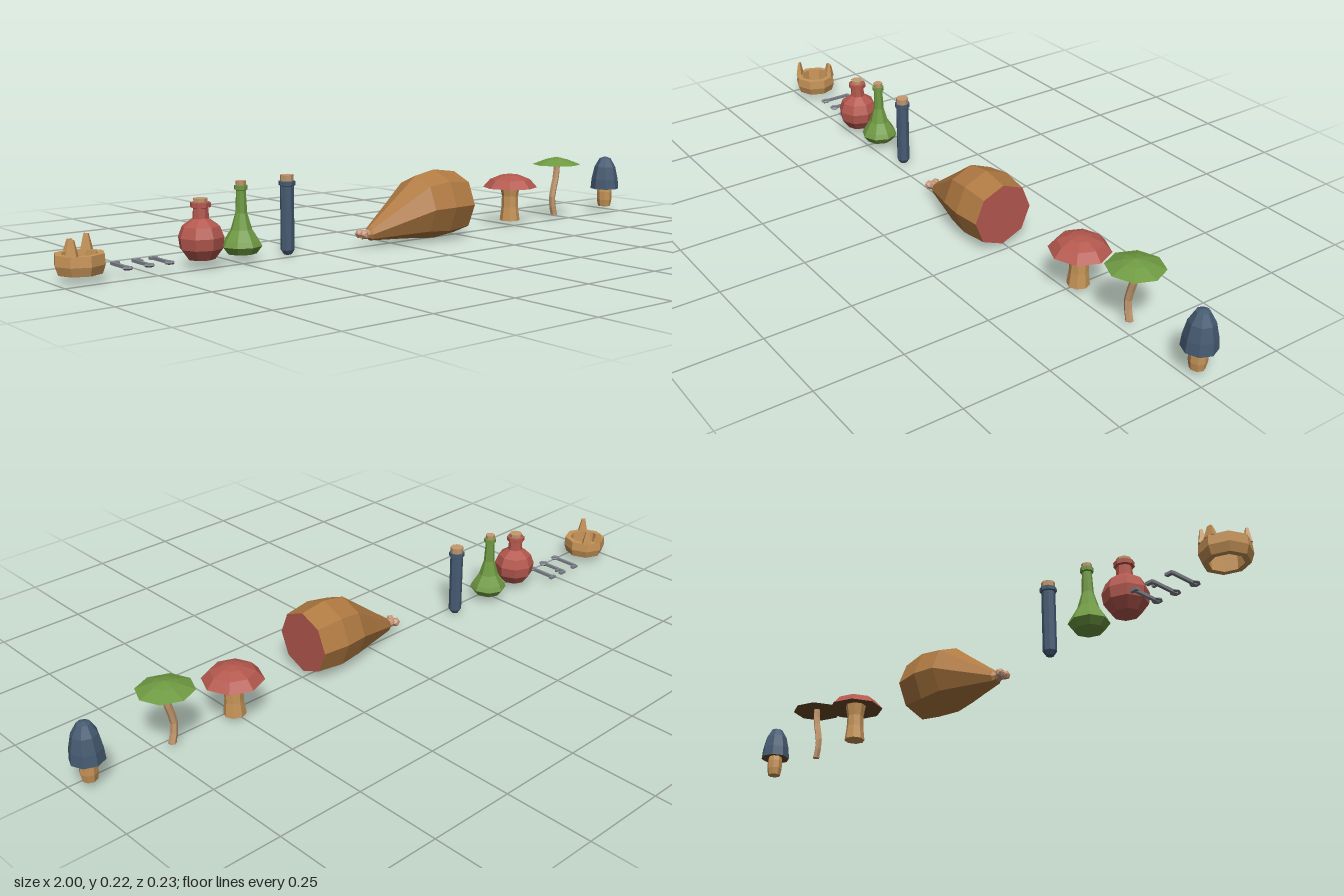
import * as THREE from 'three';

const mat = (name, color) => new THREE.MeshStandardMaterial({ name, color, flatShading: true, side: THREE.DoubleSide });

export function createModel() {
  const root = new THREE.Group();
  root.name = 'dungeonProps';
  const M = {
    tan: mat('pale wood', 0xc69458), meat: mat('roast brown', 0xb07a42), cork: mat('cork', 0xc49a70),
    red: mat('red', 0xb4584e), green: mat('green', 0x6f9a42), blue: mat('slate blue', 0x465b72),
    steel: mat('steel', 0x7c8088), gill: mat('dark brown', 0x6a4c28), bone: mat('bone', 0xc8987c),
  };

  const group = (name, x, y, z) => {
    const g = new THREE.Group();
    g.name = name;
    g.position.set(x, y, z);
    root.add(g);
    return g;
  };
  const add = (parent, name, geo, material, x = 0, y = 0, z = 0) => {
    const m = new THREE.Mesh(geo, material);
    m.name = name;
    m.position.set(x, y, z);
    parent.add(m);
    return m;
  };
  // Profile of [radius, height] pairs turned around y
  const lathe = (pts, sides = 8) => new THREE.LatheGeometry(pts.map(p => new THREE.Vector2(...p)), sides);

  // Wooden crown-shaped ring with three uneven prongs
  const crown = group('crown', -0.935, 0, -0.053);
  add(crown, 'crownRing', lathe([[0.042, 0.022], [0.057, 0.022], [0.065, 0.045], [0.063, 0.072],
    [0.046, 0.072], [0.042, 0.022]]), M.tan);
  for (const [angle, h] of [[-45, 0.042], [135, 0.042], [180, 0.03]]) {
    const a = THREE.MathUtils.degToRad(angle);
    const prong = add(crown, 'crownProng', new THREE.CylinderGeometry(0.008, 0.02, h, 4, 1, false, Math.PI / 4),
      M.tan, Math.sin(a) * 0.053, 0.07 + h / 2, Math.cos(a) * 0.053);
    prong.rotation.y = a;
    prong.scale.z = 0.6;
  }

  // Three small keys lying flat
  [-0.82, -0.76, -0.703].forEach((x, i) => {
    const key = group('key', x, 0.024, -0.067);
    add(key, 'keyShaft', new THREE.BoxGeometry(0.008, 0.008, 0.085), M.steel);
    const bow = add(key, 'keyBow', new THREE.TorusGeometry(0.011, 0.004, 4, 6), M.steel, 0, 0, 0.04);
    bow.rotation.x = Math.PI / 2;
    add(key, 'keyBit', new THREE.BoxGeometry(0.022, 0.007, 0.011), M.steel, i < 2 ? 0.008 : 0, 0, -0.043);
    if (i === 1) add(key, 'keyTooth', new THREE.BoxGeometry(0.014, 0.007, 0.008), M.steel, 0.009, 0, -0.024);
  });

  // Round flask
  const round = group('roundFlask', -0.607, 0, -0.03);
  add(round, 'flaskBody', lathe([[0, 0.02], [0.036, 0.022], [0.057, 0.05], [0.061, 0.08], [0.05, 0.108],
    [0.022, 0.128], [0.02, 0.155], [0.027, 0.157], [0.027, 0.169], [0.019, 0.17], [0, 0.17]]), M.red);
  add(round, 'flaskCork', lathe([[0.018, 0.165], [0.019, 0.18], [0, 0.18]]), M.cork);

  // Tall flared flask
  const flared = group('flaredFlask', -0.482, 0, -0.033);
  add(flared, 'flaskBody', lathe([[0, 0.022], [0.04, 0.022], [0.055, 0.042], [0.048, 0.056], [0.029, 0.086],
    [0.016, 0.13], [0.013, 0.19], [0.018, 0.192], [0.018, 0.203], [0, 0.203]]), M.green);
  add(flared, 'flaskCork', lathe([[0.013, 0.2], [0.014, 0.215], [0, 0.215]]), M.cork);

  // Test tube
  const tube = group('testTube', -0.337, 0, -0.03);
  add(tube, 'tubeBody', lathe([[0, 0], [0.011, 0.003], [0.019, 0.015], [0.019, 0.19], [0.023, 0.192],
    [0.023, 0.203], [0, 0.203]]), M.blue);
  add(tube, 'tubeCork', lathe([[0.018, 0.2], [0.019, 0.22], [0, 0.22]]), M.cork);

  // Ham: eight-sided cross-sections along x as [x, centre height, radius]
  const loft = (rings) => {
    const pos = [], idx = [];
    rings.forEach(([x, y, r], i) => {
      for (let k = 0; k < 8; k++) {
        const a = k * Math.PI / 4;
        pos.push(x, y + Math.cos(a) * r, Math.sin(a) * r);
        if (i) {
          const b = i * 8 + k, c = i * 8 + (k + 1) % 8;
          idx.push(b - 8, b, c, b - 8, c, c - 8);
        }
      }
    });
    const g = new THREE.BufferGeometry();
    g.setAttribute('position', new THREE.Float32BufferAttribute(pos, 3));
    g.setIndex(idx);
    g.computeVertexNormals();
    return g;
  };
  const ham = group('ham', 0, 0, 0.011);
  add(ham, 'hamMeat', loft([[-0.092, 0.037, 0.013], [-0.085, 0.038, 0.02], [0.012, 0.072, 0.06],
    [0.085, 0.098, 0.091], [0.155, 0.101, 0.101], [0.235, 0.1, 0.091]]), M.meat);
  const cut = add(ham, 'hamCutFace', new THREE.CircleGeometry(0.091, 8), M.red, 0.235, 0.1, 0);
  cut.rotation.y = Math.PI / 2;
  add(ham, 'boneShaft', loft([[-0.115, 0.037, 0.013], [-0.085, 0.037, 0.013]]), M.bone);
  for (const s of [-1, 1]) {
    const knob = add(ham, 'boneKnob', new THREE.IcosahedronGeometry(0.014, 0), M.bone, -0.113, 0.039, s * 0.011);
    knob.scale.x = 0.9;
  }

  // Mushrooms: a coloured cap over a dark hollow underside
  const cap = (g, outer, inner, material) => {
    add(g, 'mushroomCap', lathe(outer), material);
    add(g, 'mushroomGills', lathe(inner), M.gill);
  };
  const redShroom = group('redMushroom', 0.511, 0, -0.031);
  cap(redShroom, [[0.084, 0.117], [0.062, 0.142], [0.03, 0.155], [0, 0.159]],
    [[0, 0.13], [0.03, 0.127], [0.084, 0.117]], M.red);
  add(redShroom, 'mushroomStem', lathe([[0, 0.013], [0.031, 0.013], [0.026, 0.055], [0.025, 0.09], [0.032, 0.128]]), M.tan);

  const greenShroom = group('greenMushroom', 0.72, 0, -0.031);
  cap(greenShroom, [[0.077, 0.174], [0.035, 0.19], [0, 0.198]], [[0, 0.181], [0.077, 0.174]], M.green);
  const bend = new THREE.CatmullRomCurve3([[0.002, 0.184], [0, 0.14], [-0.012, 0.095], [-0.018, 0.06], [-0.008, 0.012]]
    .map(([x, y]) => new THREE.Vector3(x, y, 0)));
  add(greenShroom, 'mushroomStem', new THREE.TubeGeometry(bend, 6, 0.0105, 6), M.cork);
  add(greenShroom, 'stemFoot', new THREE.CylinderGeometry(0.011, 0.011, 0.004, 6), M.cork, -0.008, 0.013, 0);

  const blueShroom = group('blueMushroom', 0.954, 0, -0.029);
  cap(blueShroom, [[0.046, 0.077], [0.043, 0.11], [0.034, 0.15], [0.018, 0.178], [0, 0.184]],
    [[0, 0.086], [0.046, 0.077]], M.blue);
  add(blueShroom, 'mushroomStem', lathe([[0, 0.018], [0.02, 0.018], [0.024, 0.04], [0.024, 0.066], [0.02, 0.088]]), M.tan);

  return root;
}
